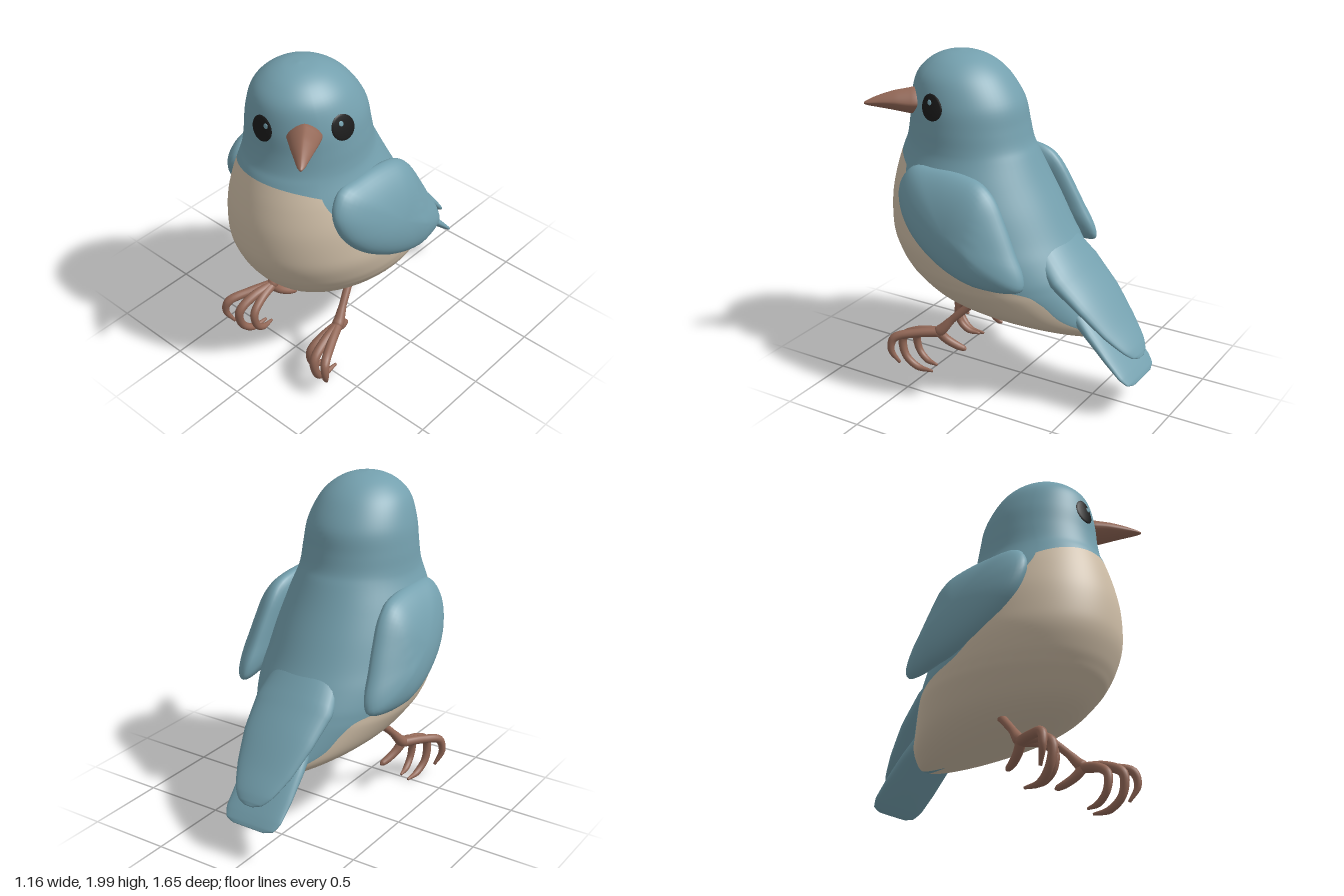
import * as THREE from 'three';
import { mergeVertices } from 'three/addons/utils/BufferGeometryUtils.js';

const paint = (name, color) => Object.assign(new THREE.MeshStandardMaterial({ color }), { name });
const blue = paint('blue feathers', 0x74a0ae);
const cream = paint('cream belly', 0xd0bfa8);
const brown = paint('brown horn', 0x936857);
const black = paint('black eye', 0x1b1b1b);

// Skin a list of closed rings of Vector3; pick(row, column) chooses a material slot
function loft(rings, pick = () => 0) {
  const n = rings[0].length, pos = rings.flat(), lists = [[], []];
  let volume = 0;
  const add = (list, a, b, c) => {
    volume += pos[a].dot(new THREE.Vector3().crossVectors(pos[b], pos[c]));
    list.push(a, b, c);
  };
  for (let i = 0; i < rings.length - 1; i++) {
    for (let j = 0; j < n; j++) {
      const k = (j + 1) % n, a = i * n + j, b = i * n + k, c = a + n, d = b + n;
      const list = lists[pick(i, j)];
      add(list, a, c, b);
      add(list, b, c, d);
    }
  }
  const index = [...lists[0], ...lists[1]];
  if (volume < 0) {
    for (let i = 0; i < index.length; i += 3) [index[i], index[i + 1]] = [index[i + 1], index[i]];
  }
  let geo = new THREE.BufferGeometry().setFromPoints(pos);
  geo.setIndex(index);
  geo = mergeVertices(geo);
  if (lists[1].length) {
    geo.addGroup(0, lists[0].length, 0);
    geo.addGroup(lists[0].length, lists[1].length, 1);
  }
  geo.computeVertexNormals();
  return geo;
}

// Tapered limb through stations [x, y, z, side radius, vertical radius]; power shapes the section
function limb(stations, { power = 1, steps = 6, sides = 16 } = {}) {
  const path = new THREE.CatmullRomCurve3(stations.map(s => new THREE.Vector3(s[0], s[1], s[2])));
  const last = stations.length - 1, count = last * steps, rings = [];
  for (let i = 0; i <= count; i++) {
    const t = i / count, p = path.getPoint(t), dir = path.getTangent(t);
    const k = Math.min(last - 1, Math.floor(t * last)), f = t * last - k;
    const rx = THREE.MathUtils.lerp(stations[k][3], stations[k + 1][3], f);
    const ry = THREE.MathUtils.lerp(stations[k][4], stations[k + 1][4], f);
    const side = new THREE.Vector3(1, 0, 0).addScaledVector(dir, -dir.x).normalize();
    const up = new THREE.Vector3().crossVectors(dir, side);
    const soft = v => Math.sign(v) * Math.abs(v) ** power;
    rings.push(Array.from({ length: sides }, (_, j) => {
      const a = j / sides * Math.PI * 2;
      return p.clone().addScaledVector(side, rx * soft(Math.cos(a))).addScaledVector(up, ry * soft(Math.sin(a)));
    }));
  }
  const cap = p => Array.from({ length: sides }, () => p.clone());
  return loft([cap(path.getPoint(0)), ...rings, cap(path.getPoint(1))]);
}

// Body rows from crown to belly: height, front z, back z, half width, z of the colour border
const rows = [
  [2.0, 0.40, 0.40, 0, 0.40], [1.985, 0.50, 0.29, 0.10, 0.45], [1.94, 0.59, 0.19, 0.19, 0.49],
  [1.86, 0.66, 0.10, 0.265, 0.52], [1.73, 0.69, 0.015, 0.315, 0.52], [1.6, 0.70, -0.015, 0.335, 0.53],
  [1.5, 0.72, -0.04, 0.345, 0.55], [1.43, 0.75, -0.075, 0.36, 0.57], [1.3, 0.79, -0.14, 0.41, 0.54],
  [1.15, 0.82, -0.22, 0.455, 0.47], [1.0, 0.825, -0.30, 0.48, 0.38], [0.9, 0.81, -0.36, 0.49, 0.28],
  [0.8, 0.77, -0.42, 0.48, 0.10], [0.74, 0.735, -0.45, 0.465, -0.21], [0.68, 0.69, -0.48, 0.44, -0.31],
  [0.57, 0.58, -0.54, 0.365, -0.40], [0.5, 0.42, -0.58, 0.285, -0.50], [0.45, 0.15, -0.58, 0.19, -0.56],
  [0.42, -0.20, -0.54, 0.09, -0.54], [0.413, -0.38, -0.38, 0, -0.38],
];
const END = rows.length - 1, EYE_ROW = 4, BIB_ROW = 7;

// Smoothly interpolated row at index v
function rowAt(v) {
  const k = Math.min(END - 1, Math.max(0, Math.floor(v))), f = v - k;
  const get = i => rows[Math.min(END, Math.max(0, i))];
  return rows[0].map((_, c) => {
    const [p, q, r, s] = [get(k - 1)[c], get(k)[c], get(k + 1)[c], get(k + 2)[c]];
    return q + 0.5 * f * (r - p + f * (2 * p - 5 * q + 4 * r - s + f * (3 * (q - r) + s - p)));
  });
}
// Point on the body; angle 0 faces front, positive towards +x
function skin(v, angle) {
  const [y, front, back, half] = rowAt(v);
  return new THREE.Vector3(half * Math.sin(angle), y, (front + back) / 2 + (front - back) / 2 * Math.cos(angle));
}

function bodyGeometry() {
  const perRow = 6, nf = 40, nb = 40, rings = [];
  for (let i = 0; i <= END * perRow; i++) {
    const v = i / perRow, [, front, back, , border] = rowAt(v);
    const c = (border - (front + back) / 2) / Math.max(1e-6, (front - back) / 2);
    const edge = Math.acos(THREE.MathUtils.clamp(c, -0.97, 0.97));
    rings.push(Array.from({ length: nf + nb }, (_, j) => {
      const angle = j < nf ? edge * (2 * j / nf - 1) : edge + (2 * Math.PI - 2 * edge) * (j - nf) / nb;
      const s = j < nf ? Math.abs(angle) / edge : 1;
      const bow = 0.55 * Math.exp(-(((v - BIB_ROW) / 1.5) ** 2)) * s * s;
      return skin(Math.min(END, i === 0 ? 0 : v + bow), angle);
    }));
  }
  return loft(rings, (i, j) => (i >= BIB_ROW * perRow && j < nf ? 1 : 0));
}

// Thin round plate following the head
function headSpot(angle, dx, dy, radius, lift) {
  const at = (r, h) => Array.from({ length: 32 }, (_, j) => {
    const a = j / 32 * Math.PI * 2;
    const v = EYE_ROW - (dy + r * Math.sin(a)) / 0.13, t = angle + (dx + r * Math.cos(a)) / 0.325;
    const p = skin(v, t), e = 0.01;
    const normal = skin(v + e, t).sub(p).cross(skin(v, t + e).sub(p)).normalize();
    return p.addScaledVector(normal, h);
  });
  return loft([at(0, lift), at(radius * 0.5, lift), at(radius * 0.85, lift), at(radius, lift - 0.002),
    at(radius, -0.001), at(0, -0.001)]);
}

// Plump folded wing: side outline as [z, y], domed outwards and inwards
function wingGeometry(side) {
  const outline = new THREE.CatmullRomCurve3([
    [0.35, 1.4], [0.5, 1.385], [0.57, 1.28], [0.55, 1.15], [0.47, 1.03], [0.35, 0.93], [0.2, 0.85], [0.05, 0.805],
    [-0.19, 0.785], [-0.27, 0.81], [-0.265, 0.88], [-0.2, 1.01], [-0.13, 1.15], [-0.05, 1.29], [0.03, 1.36], [0.15, 1.39],
  ].map(([z, y]) => new THREE.Vector3(0, y, z)), true);
  const center = new THREE.Vector3(0, 1.1, 0.17), rings = [], n = 24;
  for (let i = 0; i <= n; i++) {
    const a = i / n * Math.PI, s = Math.sin(a), dome = Math.cos(a);
    rings.push(Array.from({ length: 64 }, (_, j) => {
      const p = center.clone().lerp(outline.getPoint(j / 64), s);
      const mid = 0.365 + (1.4 - p.y) * 0.22 - 0.2 * Math.max(0, -p.z);
      p.x = side * (mid + dome * (dome > 0 ? 0.13 : 0.1));
      return p;
    }));
  }
  return loft(rings);
}

export function createModel() {
  const model = new THREE.Group();
  model.name = 'songbird';
  const add = (parent, name, geometry, material) => {
    const mesh = new THREE.Mesh(geometry, material);
    mesh.name = name;
    parent.add(mesh);
  };

  add(model, 'body', bodyGeometry(), [blue, cream]);

  // Tail: tapered upper coverts over a broader lower fan
  add(model, 'upperTail', limb([
    [0, 0.95, -0.2, 0.22, 0.1], [0, 0.79, -0.36, 0.26, 0.085], [0, 0.645, -0.52, 0.235, 0.06],
    [0, 0.5, -0.66, 0.185, 0.04], [0, 0.4, -0.76, 0.125, 0.024], [0, 0.36, -0.795, 0.08, 0.015],
    [0, 0.345, -0.81, 0.03, 0.006]], { sides: 32 }), blue);
  add(model, 'lowerTail', limb([
    [0, 0.6, -0.42, 0.17, 0.06], [0, 0.48, -0.55, 0.19, 0.045], [0, 0.36, -0.67, 0.195, 0.034],
    [0, 0.265, -0.765, 0.19, 0.022], [0, 0.225, -0.805, 0.165, 0.013], [0, 0.21, -0.82, 0.11, 0.006]],
  { sides: 32, power: 0.8 }), blue);

  // Beak and eyes, on a head turned to its left
  add(model, 'beak', limb([
    [0.15, 1.72, 0.52, 0.1, 0.075], [0.215, 1.722, 0.595, 0.093, 0.08], [0.28, 1.727, 0.672, 0.068, 0.06],
    [0.34, 1.725, 0.743, 0.04, 0.036], [0.38, 1.72, 0.792, 0.02, 0.016], [0.394, 1.718, 0.81, 0.007, 0.006]],
  { power: 1.3, sides: 32 }), brown);
  for (const [name, angle, shift] of [['rightEye', 0, 0.033], ['leftEye', 1.43, -0.01]]) {
    add(model, name, headSpot(angle, 0, 0, 0.071, 0.005), black);
    add(model, name + 'Glint', headSpot(angle, shift, 0.026, 0.014, 0.008), blue);
  }

  for (const side of [1, -1]) {
    const label = side > 0 ? 'left' : 'right';
    add(model, label + 'Wing', wingGeometry(side), blue);

    // Leg with three curled front toes and one rear toe
    const leg = new THREE.Group();
    leg.name = label + 'Leg';
    model.add(leg);
    const part = (name, points) => add(leg, name, limb(points.map(([x, y, z, r]) => [x * side, y, z, r, r])), brown);
    part('shank', [[0.19, 0.53, 0.2, 0.03], [0.21, 0.48, 0.25, 0.024], [0.245, 0.39, 0.34, 0.023], [0.27, 0.31, 0.41, 0.036],
      [0.275, 0.29, 0.45, 0.025]]);
    part('outerToe', [[0.27, 0.3, 0.41, 0.03], [0.34, 0.285, 0.55, 0.027], [0.4, 0.25, 0.665, 0.027], [0.415, 0.17, 0.68, 0.021],
      [0.385, 0.08, 0.64, 0.009]]);
    part('middleToe', [[0.27, 0.3, 0.41, 0.03], [0.295, 0.28, 0.56, 0.029], [0.31, 0.22, 0.66, 0.028], [0.315, 0.1, 0.645, 0.024],
      [0.3, 0.03, 0.57, 0.022], [0.295, 0.025, 0.46, 0.008]]);
    part('innerToe', [[0.27, 0.3, 0.41, 0.03], [0.25, 0.27, 0.53, 0.027], [0.235, 0.21, 0.61, 0.026], [0.23, 0.11, 0.6, 0.022],
      [0.235, 0.055, 0.54, 0.02], [0.245, 0.045, 0.46, 0.008]]);
    part('rearToe', [[0.27, 0.3, 0.42, 0.03], [0.25, 0.25, 0.38, 0.027], [0.225, 0.21, 0.32, 0.024], [0.212, 0.195, 0.28, 0.018],
      [0.208, 0.19, 0.265, 0.007]]);
  }
  return model;
}
